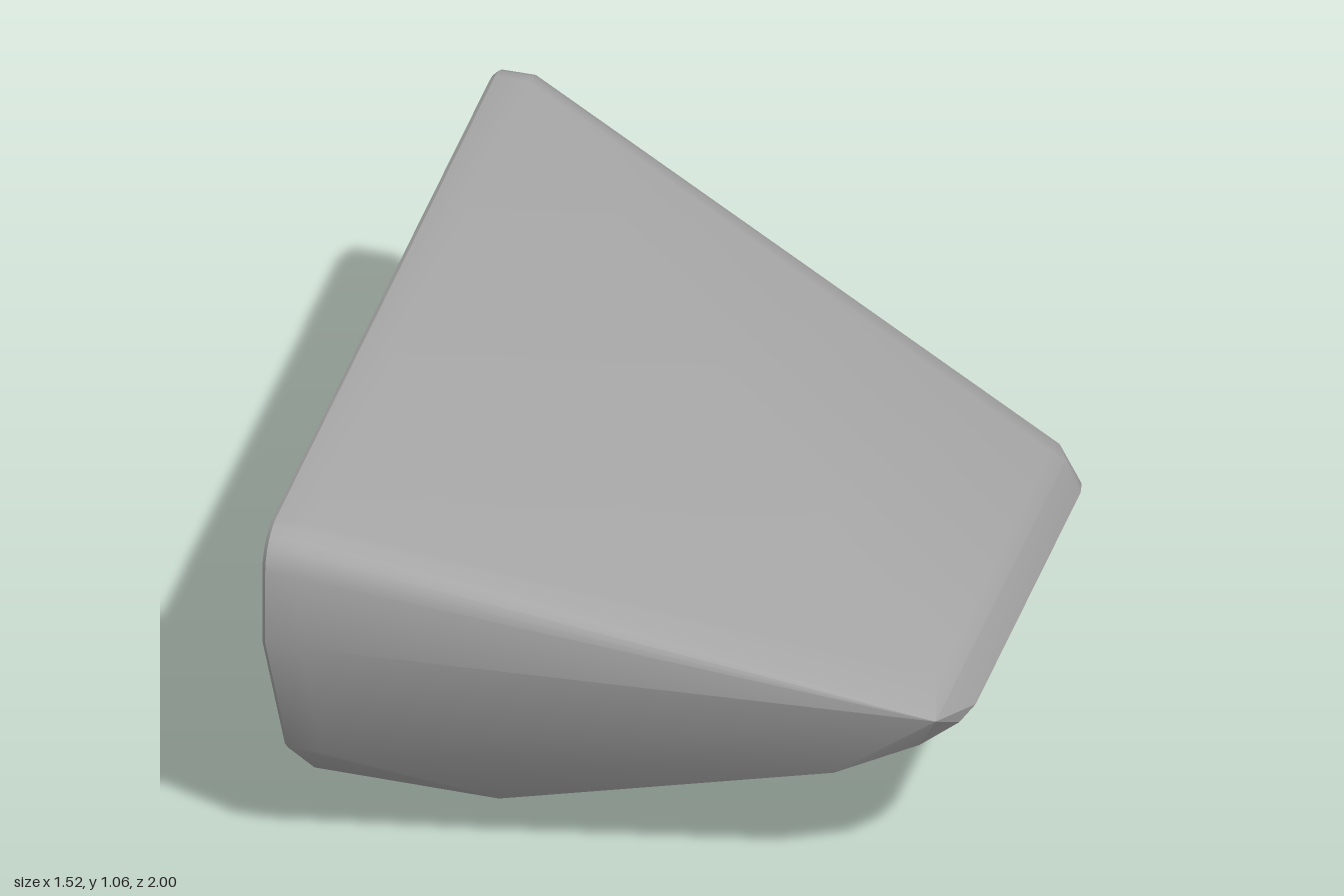
import * as THREE from 'three';
import { ConvexGeometry } from 'three/addons/geometries/ConvexGeometry.js';
import { toCreasedNormals } from 'three/addons/utils/BufferGeometryUtils.js';

// Rounded corner in the (z, y) plane: quarter arc from the side to the top
function corner(side, radius, steps) {
  const pts = [];
  for (let i = 0; i <= steps; i++) {
    const a = (i / steps) * Math.PI / 2;
    pts.push([side * (1 - radius + radius * Math.cos(a)), 1.06 - radius + radius * Math.sin(a)]);
  }
  return pts;
}

export function createModel() {
  const group = new THREE.Group();
  group.name = 'wedge';
  const stone = new THREE.MeshStandardMaterial({ color: 0xa6a6a6 });
  stone.name = 'stone grey';

  // Wide end outline as [z, y]
  const outline = [
    ...corner(1, 0.09, 5), ...corner(-1, 0.09, 5),
    [1, 0.78], [0.81, 0.37], [0.59, 0.17], [0.17, 0],
    [-0.17, 0], [-0.62, 0.185], [-0.7, 0.235], [-0.76, 0.3], [-0.81, 0.385], [-1, 0.78],
  ];
  const points = [];
  // Wide end: thin chamfer at the cap, then a short straight band
  for (const [x, s] of [[-0.76, 0.988], [-0.75, 1], [-0.67, 1]]) {
    for (const [z, y] of outline) points.push(new THREE.Vector3(x, 0.53 + (y - 0.53) * s, z * s));
  }
  // Narrow end: sloped underside, bevelled lip and one rounded corner, as [x, y, z]
  const tip = [
    [-0.32, 0.165, 0.59], [0.46, 0.38, 0.59], [0.66, 0.493, 0.59],
    [0.72, 0.62, 0.67], [0.74, 0.54, 0.545], [0.76, 0.55, 0.48],
    [0.69, 0.65, 0.55], [0.69, 0.65, -0.39], [0.72, 0.62, -0.41],
    [0.76, 0.55, -0.39], [0.75, 0.543, -0.435], [0.725, 0.53, -0.465], [0.69, 0.51, -0.485],
    [0.69, 0.62, -0.465], [0.46, 0.38, -0.49], [-0.4, 0.165, -0.56],
  ];
  for (const p of tip) points.push(new THREE.Vector3(...p));

  // Solid body with soft bends and sharp main edges
  const body = new THREE.Mesh(toCreasedNormals(new ConvexGeometry(points), 0.5), stone);
  body.name = 'body';
  group.add(body);
  return group;
}
